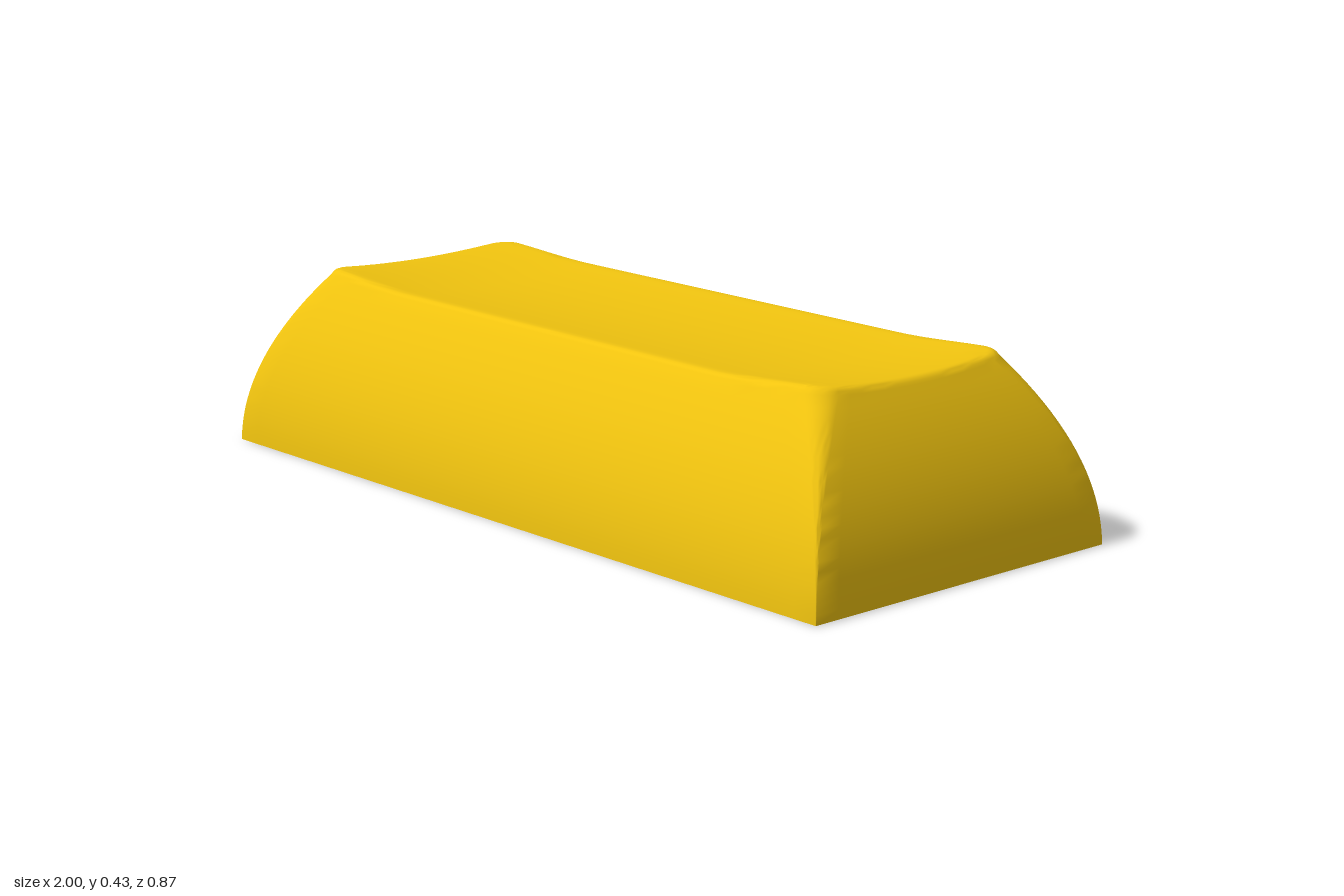
import * as THREE from 'three';
import { toCreasedNormals } from 'three/addons/utils/BufferGeometryUtils.js';

const HALF_X = 1, HALF_Z = 0.435, WALL = 0.08;

// How far the curved side walls lean inwards at height y
const lean = (y) => 0.027 * y + 0.79 * y * y;

// Dished top: lowest in the middle, highest at the four corners
function topHeight(x, z) {
  return 0.4 + 0.017 * THREE.MathUtils.smoothstep(Math.abs(x), 0.53, 0.86) + 0.015 * Math.min(1, (z / 0.27) ** 2);
}

// Loop stations: which corner, angle round it, and position along the following side
const STATIONS = [];
const ARC = 8;
for (let q = 0; q < 4; q++) {
  for (let i = 0; i <= ARC; i++) STATIONS.push({ q, a: (q + i / ARC) * Math.PI / 2, t: 0 });
  const n = q % 2 ? 14 : 32;
  for (let i = 1; i < n; i++) STATIONS.push({ q, a: (q + 1) * Math.PI / 2, t: i / n });
}

// Point of a rounded rectangle, inset from the base outline
function outline({ q, a, t }, inset, r) {
  const corner = (k) => [
    (k % 4 === 0 || k % 4 === 3 ? 1 : -1) * (HALF_X - inset - r),
    (k % 4 < 2 ? 1 : -1) * (HALF_Z - inset - r)];
  const [x0, z0] = corner(q), [x1, z1] = corner(q + 1);
  return [x0 + (x1 - x0) * t + r * Math.cos(a), z0 + (z1 - z0) * t + r * Math.sin(a)];
}

// Wall ring at fraction f of the height below the dished rim
function wallRing(f, inner) {
  const r = inner ? 0.0005 : 0.001 + 0.055 * f * f;
  return STATIONS.map((s) => {
    const [rx, rz] = outline(s, 0.16, 0.05);
    const y = f * (topHeight(rx, rz) - 0.015);
    const [x, z] = outline(s, lean(y) + (inner ? WALL : 0), r);
    return [x, inner ? y * 0.83 : y, z];
  });
}

// Ring of the narrow rounded rim between wall and top
function rimRing(extra, drop) {
  return STATIONS.map((s) => {
    const [rx, rz] = outline(s, 0.16, 0.05);
    const [x, z] = outline(s, lean(topHeight(rx, rz) - 0.015) + extra, 0.056 - extra * 0.4);
    return [x, topHeight(x, z) - drop, z];
  });
}

// Ring of the dished surface, shrunk towards the centre
function dishRing(edge, s, drop) {
  return edge.map(([x, , z]) => [x * s, topHeight(x * s, z * s) - drop, z * s]);
}

// Skin a sequence of rings into one closed surface
function skin(rings) {
  const n = STATIONS.length, index = [];
  for (let j = 0; j < rings.length - 1; j++) {
    for (let i = 0; i < n; i++) {
      const a = j * n + i, b = j * n + (i + 1) % n;
      index.push(a, a + n, b, b, a + n, b + n);
    }
  }
  const g = new THREE.BufferGeometry();
  g.setAttribute('position', new THREE.Float32BufferAttribute(rings.flat(2), 3));
  g.setIndex(index);
  return toCreasedNormals(g, 0.6);
}

export function createModel() {
  const group = new THREE.Group();
  group.name = 'hollowCap';
  const steps = (n) => Array.from({ length: n + 1 }, (_, i) => i / n);
  const rings = [];

  // Cavity: ceiling from the centre outwards, then down the inside walls
  const ceilingEdge = wallRing(1, true);
  for (const s of steps(10).slice(0, -1)) {
    rings.push(ceilingEdge.map(([x, y, z]) => {
      const k = topHeight(x, z) - y;
      return [x * s, topHeight(x * s, z * s) - k, z * s];
    }));
  }
  for (const f of steps(12).reverse()) rings.push(wallRing(f, true));

  // Flat bottom lip, then up the outside walls
  for (const f of steps(20)) rings.push(wallRing(f, false));

  // Rounded rim and dished top
  rings.push(rimRing(0.004, 0.009), rimRing(0.009, 0.004), rimRing(0.015, 0.001));
  const edge = rimRing(0.022, 0);
  for (const s of steps(16).reverse()) rings.push(dishRing(edge, s, 0));

  const cap = new THREE.Mesh(skin(rings), new THREE.MeshStandardMaterial({ color: 0xf1c40f }));
  cap.name = 'capShell';
  group.add(cap);
  return group;
}
